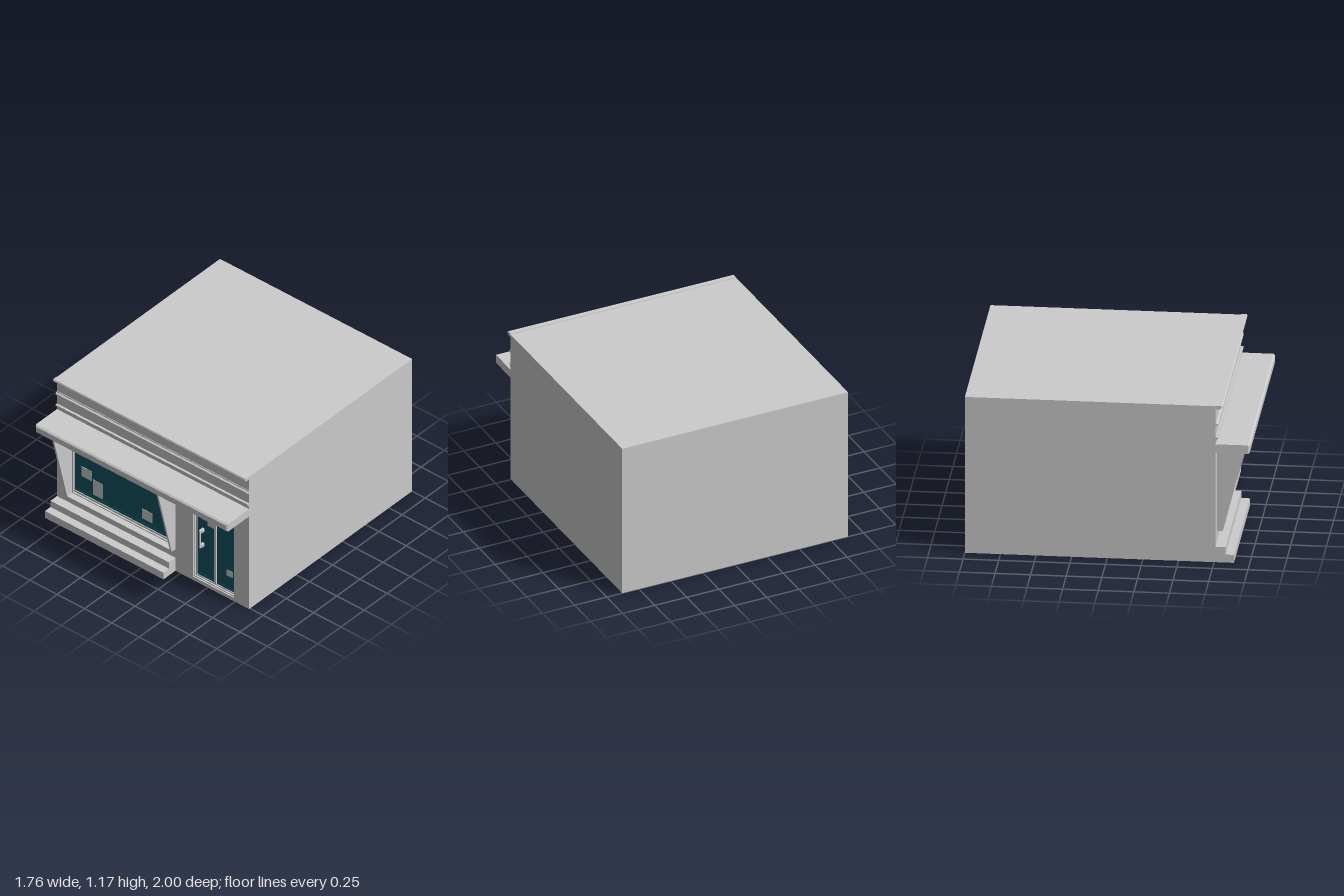
import * as THREE from 'three';

const grey = new THREE.MeshStandardMaterial({ color: 0xcccccc, flatShading: true });
const teal = new THREE.MeshStandardMaterial({ color: 0x165462, flatShading: true });
const darkTeal = new THREE.MeshStandardMaterial({ color: 0x0b333c, flatShading: true });

export function createModel() {
  const model = new THREE.Group();
  const W = 0.88, BACK = 0.7, WALL = 0.76;

  const add = (name, geometry, material = grey) => {
    const mesh = new THREE.Mesh(geometry, material);
    mesh.name = name;
    model.add(mesh);
    return mesh;
  };

  // Box given by its extents
  const box = (name, x0, x1, y0, y1, z0, z1, material) => {
    const g = new THREE.BoxGeometry(x1 - x0, y1 - y0, z1 - z0);
    g.translate((x0 + x1) / 2, (y0 + y1) / 2, (z0 + z1) / 2);
    return add(name, g, material);
  };

  // Profile of [z, y] points swept along x
  const sweep = (name, points, x0, x1) => {
    const shape = new THREE.Shape(points.map(([z, y]) => new THREE.Vector2(z, y)));
    const g = new THREE.ExtrudeGeometry(shape, { depth: x1 - x0, bevelEnabled: false });
    g.rotateY(-Math.PI / 2).translate(x1, 0, 0);
    return add(name, g);
  };

  // Rectangles are [x0, x1, y0, y1]
  const corners = ([x0, x1, y0, y1]) => [[x0, y0], [x1, y0], [x1, y1], [x0, y1]];
  const inset = ([x0, x1, y0, y1], d) => [x0 + d, x1 - d, y0 + d, y1 - d];

  // Upright slab with rectangular openings
  const slab = (name, rect, holes, z0, z1) => {
    const toPoints = r => corners(r).map(([x, y]) => new THREE.Vector2(x, y));
    const shape = new THREE.Shape(toPoints(rect));
    holes.forEach(h => shape.holes.push(new THREE.Path(toPoints(h).reverse())));
    const g = new THREE.ExtrudeGeometry(shape, { depth: z1 - z0, bevelEnabled: false });
    return add(name, g.translate(0, 0, z0));
  };

  // Four sloping sides joining an outer rectangle to an inner one
  const taper = (name, outer, zo, inner, zi, material) => {
    const a = corners(outer), b = corners(inner), pos = [];
    for (let i = 0; i < 4; i++) {
      const j = (i + 1) % 4;
      const [p, q, r, s] = [[...a[i], zo], [...a[j], zo], [...b[j], zi], [...b[i], zi]];
      pos.push(...p, ...q, ...r, ...p, ...r, ...s);
    }
    const g = new THREE.BufferGeometry();
    g.setAttribute('position', new THREE.Float32BufferAttribute(pos, 3));
    g.computeVertexNormals();
    return add(name, g, material);
  };

  // Building and its front wall with the two openings
  const windowHole = [-0.75, 0.19, 0.205, 0.775];
  const doorHole = [0.365, 0.74, 0.03, 0.765];
  box('building', -W, W, 0, 1.17, -1, BACK);
  slab('frontWall', [-W, W, 0, 1.17], [windowHole, doorHole], BACK, WALL);

  // Framed glazing
  const glaze = (name, hole, panes) => {
    slab(name + 'Frame', hole, [inset(hole, 0.008)], BACK, 0.75);
    slab(name + 'Sash', inset(hole, 0.008), panes, BACK, 0.738);
    for (const pane of panes) {
      const inner = inset(pane, 0.012);
      taper(name + 'Reveal', pane, 0.732, inner, 0.712, darkTeal);
      box(name + 'Glass', ...inner, BACK, 0.712, teal);
    }
  };
  glaze('window', windowHole, [[-0.737, 0.175, 0.603, 0.757], [-0.737, 0.175, 0.228, 0.587]]);
  glaze('door', doorHole, [[0.382, 0.54, 0.048, 0.75], [0.56, 0.722, 0.048, 0.75]]);

  // Notices on the glass
  [
    [-0.52, -0.435, 0.635, 0.725], [-0.035, 0.13, 0.635, 0.725],
    [-0.695, -0.605, 0.36, 0.445], [-0.59, -0.505, 0.25, 0.38],
    [-0.14, -0.045, 0.265, 0.35], [0.415, 0.505, 0.535, 0.62],
    [0.46, 0.52, 0.5, 0.55], [0.635, 0.685, 0.15, 0.2],
  ].forEach(r => box('notice', ...r, 0.711, 0.715));

  // Door handle
  box('handleBar', 0.417, 0.428, 0.305, 0.458, 0.745, 0.757);
  for (const y of [0.305, 0.433]) box('handleMount', 0.412, 0.432, y, y + 0.025, 0.711, 0.748);

  // Sloping display surround
  const slope = y => 0.8 + 0.25 * (y - 0.19);
  const plate = (name, y0, y1, x0, x1) =>
    sweep(name, [[WALL, y0], [slope(y0), y0], [slope(y1), y1], [WALL, y1]], x0, x1);
  plate('surroundRight', 0.19, 0.79, -0.765, -0.75);
  plate('surroundLeft', 0.19, 0.79, 0.19, 0.205);
  plate('surroundSill', 0.19, 0.205, -0.75, 0.19);
  plate('surroundTop', 0.775, 0.79, -0.75, 0.19);

  // Canopy with a chamfered front
  const canopy = [-W, W, 0.82, 0.885], fascia = inset(canopy, 0.01);
  box('canopy', ...canopy, WALL, 0.988);
  taper('canopyChamfer', canopy, 0.988, fascia, 1);
  box('canopyFascia', ...fascia, 0.988, 1);

  // Mouldings and cornice
  sweep('lowerMoulding', [[WALL, 0.905], [0.765, 0.905], [0.768, 0.918], [0.778, 0.925], [0.778, 0.935], [WALL, 0.935]], -W, W);
  sweep('upperMoulding', [[WALL, 1.022], [0.778, 1.022], [0.778, 1.034], [0.766, 1.04], [0.764, 1.048], [WALL, 1.048]], -W, W);
  sweep('cornice', [[WALL, 1.148], [0.79, 1.148], [0.802, 1.156], [0.805, 1.164], [0.8, 1.174], [WALL, 1.174]], -W, W);

  // Stepped plinth
  sweep('plinth', [[WALL, 0], [0.89, 0], [0.89, 0.06], [0.83, 0.06], [0.83, 0.115], [WALL, 0.115]], -W, 0.205);

  return model;
}
